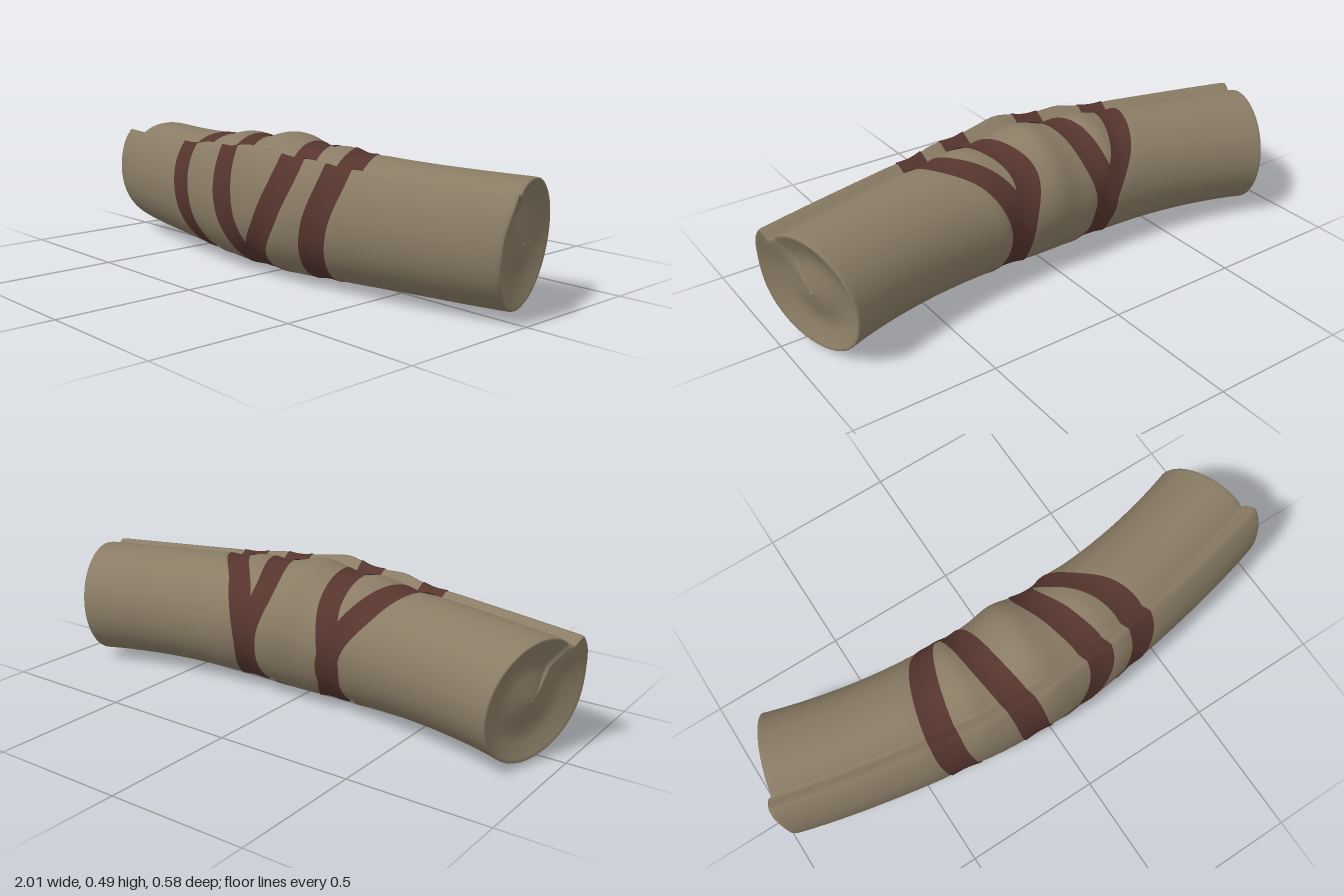
import * as THREE from 'three';

const rad = Math.PI / 180;
const bell = (v, width) => Math.exp(-((v / width) ** 2));

// Position of each strap along the roll, every 45 degrees from the front over the top
const STRAPS = [
  [-0.35, -0.38, -0.37, -0.32, -0.22, -0.21, -0.27, -0.31],
  [-0.085, -0.11, -0.15, -0.18, -0.22, -0.18, -0.07, -0.04],
  [0.12, 0.19, 0.16, 0.12, 0.17, 0.17, 0.06, 0.02],
  [0.32, 0.37, 0.35, 0.24, 0.18, 0.2, 0.25, 0.28],
];

// Closed Catmull-Rom interpolation of a strap path
function strapAt(path, deg) {
  const t = (((deg % 360) + 360) % 360) / 45;
  const i = Math.floor(t), f = t - i;
  const [a, b, c, d] = [-1, 0, 1, 2].map((k) => path[(i + k + 8) % 8]);
  return b + 0.5 * f * (c - a + f * (2 * a - 5 * b + 4 * c - d + f * (3 * (b - c) + d - a)));
}

// Angles around the section, packed closely over the flap edge (51 to 56 degrees)
const ANGLES = [];
for (let i = 0; i <= 72; i++) ANGLES.push(56 + (i / 72) * 355);
ANGLES.push(412, 413.5, 415);

// Radius of the rolled cloth: swollen middle, cinched straps, overlapping flap
function radius(s, deg) {
  let r = 0.209 + 0.024 * bell(s, 0.4);
  const top = Math.max(0, Math.cos((deg - 105) * rad));
  r += top * (0.026 * bell(s, 0.075) + 0.014 * bell(s + 0.25, 0.05) + 0.008 * bell(s - 0.26, 0.05));
  for (const path of STRAPS) r -= 0.007 * bell(s - strapAt(path, deg), 0.05);
  const past = deg - 56;
  r -= 0.012 * Math.exp(-past / 12);
  const lip = 0.031 + 0.016 * bell(s, 0.3);
  const rise = Math.max(0, (deg - 350) / 61);
  if (deg <= 411) r += lip * rise * rise;
  else r += (lip + 0.012) * (0.5 + 0.5 * Math.cos(((deg - 411) / 5) * Math.PI)) - 0.012;
  return r;
}

// Point on the bent roll; scale and inset shape the end faces
function surfacePoint(s, deg, { scale = 1, inset = 0, lift = 0 } = {}) {
  const r = radius(s, deg) * scale + lift;
  const dy = r * Math.sin(deg * rad), dz = r * Math.cos(deg * rad);
  const end = Math.abs(s / 0.935) ** 8 * scale;
  const flare = end * (0.02 * Math.sin(deg * rad) - 0.01 + 0.016 * bell(deg - 408, 22));
  const x = s * (1 + 0.34 * dz) + Math.sign(s) * (flare - inset);
  return [x, 0.235 - 0.012 * s * s + dy, 0.05 - 0.16 * s * s + dz];
}

// Join rows of points that each close into a ring
function loft(rows) {
  const n = rows[0].length, index = [];
  for (let i = 0; i < rows.length - 1; i++) {
    for (let j = 0; j < n; j++) {
      const k = (j + 1) % n;
      const a = i * n + j, b = a + n, c = (i + 1) * n + k, d = i * n + k;
      index.push(a, b, c, a, c, d);
    }
  }
  const geometry = new THREE.BufferGeometry();
  geometry.setAttribute('position', new THREE.Float32BufferAttribute(rows.flat(2), 3));
  geometry.setIndex(index);
  geometry.computeVertexNormals();
  return geometry;
}

export function createModel() {
  const group = new THREE.Group();
  const cloth = new THREE.MeshStandardMaterial({ name: 'cloth', color: 0x8a7c65 });
  const strapMaterial = new THREE.MeshStandardMaterial({
    name: 'strap', color: 0x56352e, side: THREE.DoubleSide,
  });

  // Bent roll with rounded rims and dished ends
  const cap = [
    [0.01, 0.022], [0.2, 0.025], [0.4, 0.034], [0.55, 0.038], [0.7, 0.03],
    [0.85, 0.015], [0.93, 0.006], [0.975, 0.001], [0.995, 0.004],
  ];
  const ring = (s, options) => ANGLES.map((deg) => surfacePoint(s, deg, options));
  const capRings = (s) => cap.map(([scale, inset]) => ring(s, { scale, inset }));
  const rows = capRings(-0.935);
  for (let i = 0; i <= 100; i++) rows.push(ring(-0.922 + 0.01844 * i));
  rows.push(...capRings(0.935).reverse());
  const roll = new THREE.Mesh(loft(rows), cloth);
  roll.name = 'clothRoll';
  group.add(roll);

  // Thin straps wound around the middle
  STRAPS.forEach((path, n) => {
    const strapRows = [];
    for (let i = 0; i <= 8; i++) {
      const across = -0.05 + 0.0125 * i;
      strapRows.push(ANGLES.map((deg) =>
        surfacePoint(strapAt(path, deg) + across, deg, { lift: 0.004 })));
    }
    const strap = new THREE.Mesh(loft(strapRows), strapMaterial);
    strap.name = `strap${n + 1}`;
    group.add(strap);
  });

  return group;
}
